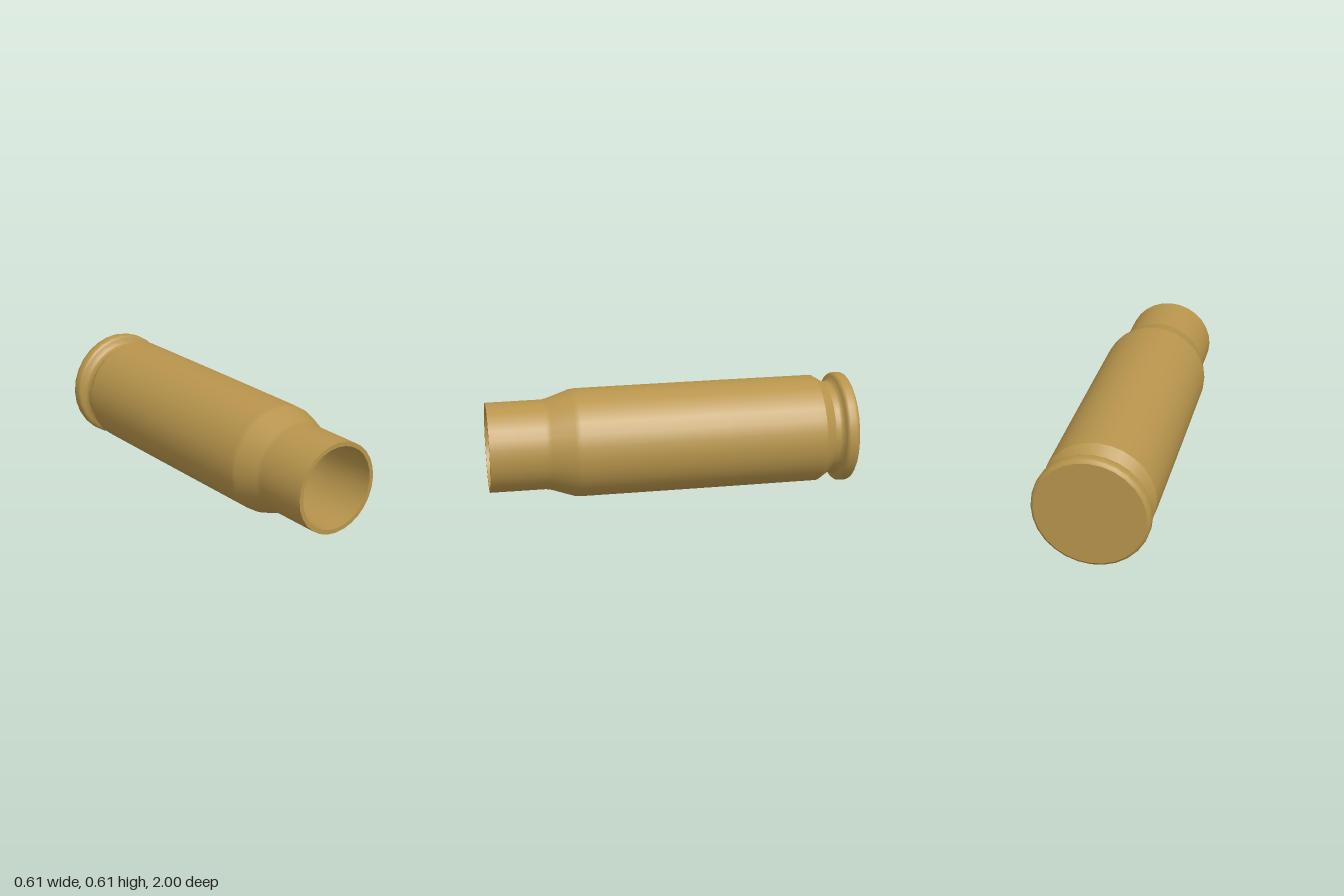
import * as THREE from 'three';

const SIDES = 28;

// Surface of revolution along z from [radius, z] pairs
function turned(name, points, material) {
  const geometry = new THREE.LatheGeometry(
    points.map(([r, z]) => new THREE.Vector2(r, z)), SIDES);
  geometry.rotateX(Math.PI / 2);
  const mesh = new THREE.Mesh(geometry, material);
  mesh.name = name;
  return mesh;
}

export function createModel() {
  const brass = new THREE.MeshStandardMaterial({ color: 0xb8954c });
  brass.name = 'brass';

  const casing = new THREE.Group();
  casing.name = 'casing';
  casing.add(
    // Closed head with a softly rounded rim
    turned('base', [[0, -1], [0.15, -1], [0.287, -1]], brass),
    turned('rim', [[0.287, -1], [0.3, -0.992], [0.305, -0.975], [0.305, -0.945], [0.298, -0.932], [0.285, -0.927]], brass),
    // Extractor groove and its bevel up to the body
    turned('groove', [[0.285, -0.927], [0.262, -0.917], [0.258, -0.9], [0.258, -0.875]], brass),
    turned('grooveBevel', [[0.258, -0.875], [0.296, -0.815]], brass),
    // Body, tapered shoulder and neck
    turned('body', [[0.296, -0.815], [0.297, -0.78], [0.297, -0.3], [0.296, 0.2], [0.295, 0.52],
      [0.291, 0.55], [0.25, 0.67], [0.244, 0.7], [0.243, 1]], brass),
    // Open mouth and hollow inside
    turned('lip', [[0.243, 1], [0.22, 1]], brass),
    turned('cavityWall', [[0.22, 1], [0.219, 0.69], [0.265, 0.54], [0.265, -0.75]], brass),
    turned('cavityFloor', [[0.265, -0.75], [0.2, -0.8], [0, -0.82]], brass),
  );
  casing.position.set(0, 0.305, 0);

  const model = new THREE.Group();
  model.name = 'emptyCase';
  model.add(casing);
  return model;
}
